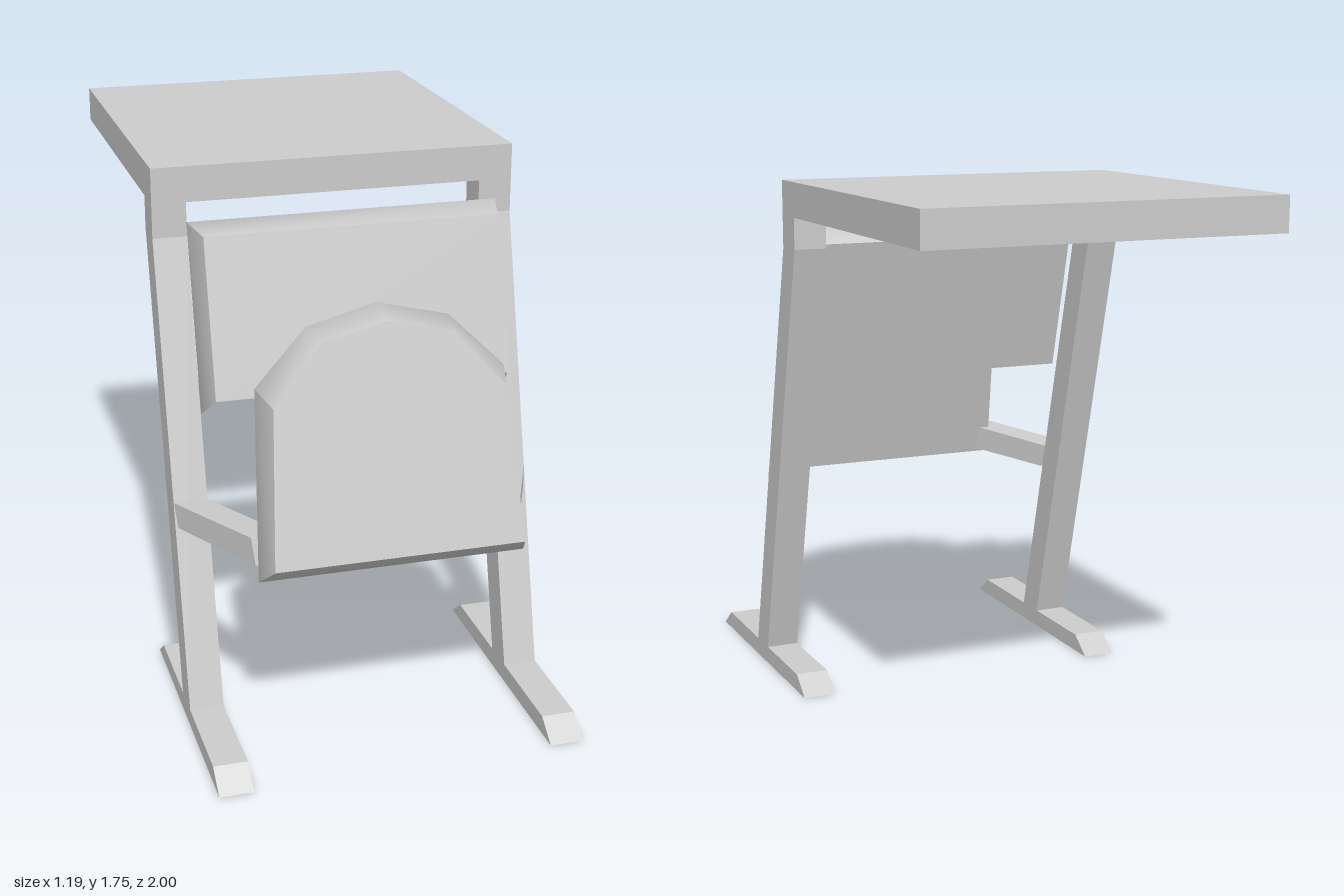
import * as THREE from 'three';

const material = new THREE.MeshStandardMaterial({ color: 0xcccccc, side: THREE.DoubleSide });
const TILT = Math.atan(0.265);
const BAR = 0.11;   // width of the frame bars
const OUTER = 0.595; // half width of the frame

function mesh(name, geometry) {
  const m = new THREE.Mesh(geometry, material);
  m.name = name;
  return m;
}

// Side profile given as [z, y] points, extruded across x and centred on x
function sideBar(name, points, x) {
  const shape = new THREE.Shape(points.map(([z, y]) => new THREE.Vector2(z, y)));
  const geometry = new THREE.ExtrudeGeometry(shape, { depth: BAR, bevelEnabled: false });
  geometry.rotateY(-Math.PI / 2).translate(x + BAR / 2, 0, 0);
  return mesh(name, geometry);
}

// Rim of a pad: front, ridge and back rows, smooth over the ridge
function rimStrip(inner, outer, depth) {
  const positions = [], index = [];
  inner.forEach(([x, y], i) => {
    positions.push(x, y, depth, ...outer[i], 0, x, y, -depth);
    if (i === 0) return;
    for (let r = 0; r < 2; r++) {
      const a = (i - 1) * 3 + r, b = i * 3 + r;
      index.push(a, a + 1, b, b, a + 1, b + 1);
    }
  });
  const geometry = new THREE.BufferGeometry();
  geometry.setAttribute('position', new THREE.Float32BufferAttribute(positions, 3));
  geometry.setIndex(index);
  geometry.computeVertexNormals();
  return geometry;
}

// Tilted cushion; outlines run counterclockwise, runs list the corners of each rim piece
function pad(name, inner, outer, depth, runs) {
  const group = new THREE.Group();
  group.name = name;
  const shape = new THREE.Shape(inner.map(([x, y]) => new THREE.Vector2(x, y)));
  const front = new THREE.ShapeGeometry(shape).translate(0, 0, depth);
  const back = new THREE.ShapeGeometry(shape).rotateY(Math.PI).translate(0, 0, -depth);
  group.add(mesh(name + 'Front', front), mesh(name + 'Back', back));
  for (const run of runs) {
    const pick = (outline) => run.map((i) => outline[i % outline.length]);
    group.add(mesh(name + 'Rim', rimStrip(pick(inner), pick(outer), depth)));
  }
  group.rotation.x = -TILT;
  return group;
}

export function createModel() {
  const model = new THREE.Group();
  model.name = 'schoolDesk';

  // Desktop
  const top = new THREE.BoxGeometry(2 * OUTER, 0.115, 1.19).translate(0, 1.6975, -0.405);
  model.add(mesh('desktop', top));

  for (const side of [-1, 1]) {
    const x = side * (OUTER - BAR / 2);
    // Foot and slanted leg
    model.add(sideBar('foot', [[0.06, 0], [1, 0], [0.92, 0.06], [0.14, 0.06]], x));
    model.add(sideBar('leg', [[0.465, 0.06], [0.58, 0.06], [0.19, 1.53], [0.19, 1.64],
      [0.075, 1.64], [0.075, 1.535]], x));

    // Arm, sheared inwards from the leg to the seat
    const arm = sideBar('seatArm', [[0.43, 0.64], [0.8, 0.665], [0.78, 0.75], [0.41, 0.72]], x);
    const p = arm.geometry.attributes.position;
    for (let i = 0; i < p.count; i++) p.setX(i, p.getX(i) - side * 0.44 * (p.getZ(i) - 0.41));
    arm.geometry.computeVertexNormals();
    model.add(arm);
  }

  // Folded seat with a rounded end
  const seat = pad('seat',
    [[-0.395, 0.045], [0.395, 0.045], [0.365, 0.531], [0.21, 0.712], [0, 0.76],
      [-0.21, 0.712], [-0.365, 0.531]],
    [[-0.425, 0], [0.425, 0], [0.395, 0.585], [0.225, 0.756], [0, 0.811],
      [-0.225, 0.756], [-0.395, 0.585]],
    0.102, [[0, 1], [1, 2], [2, 3, 4, 5, 6], [6, 7]]);
  seat.position.set(0, 0.63, 0.843);
  model.add(seat);

  // Backrest, open along its lower edge
  const backrest = pad('backrest',
    [[-0.475, -0.254], [0.475, -0.254], [0.475, 0.252], [-0.475, 0.252]],
    [[-0.505, -0.298], [0.505, -0.298], [0.505, 0.298], [-0.505, 0.298]],
    0.099, [[1, 2], [2, 3], [3, 4]]);
  backrest.position.set(0, 1.316, 0.361);
  model.add(backrest);

  return model;
}
